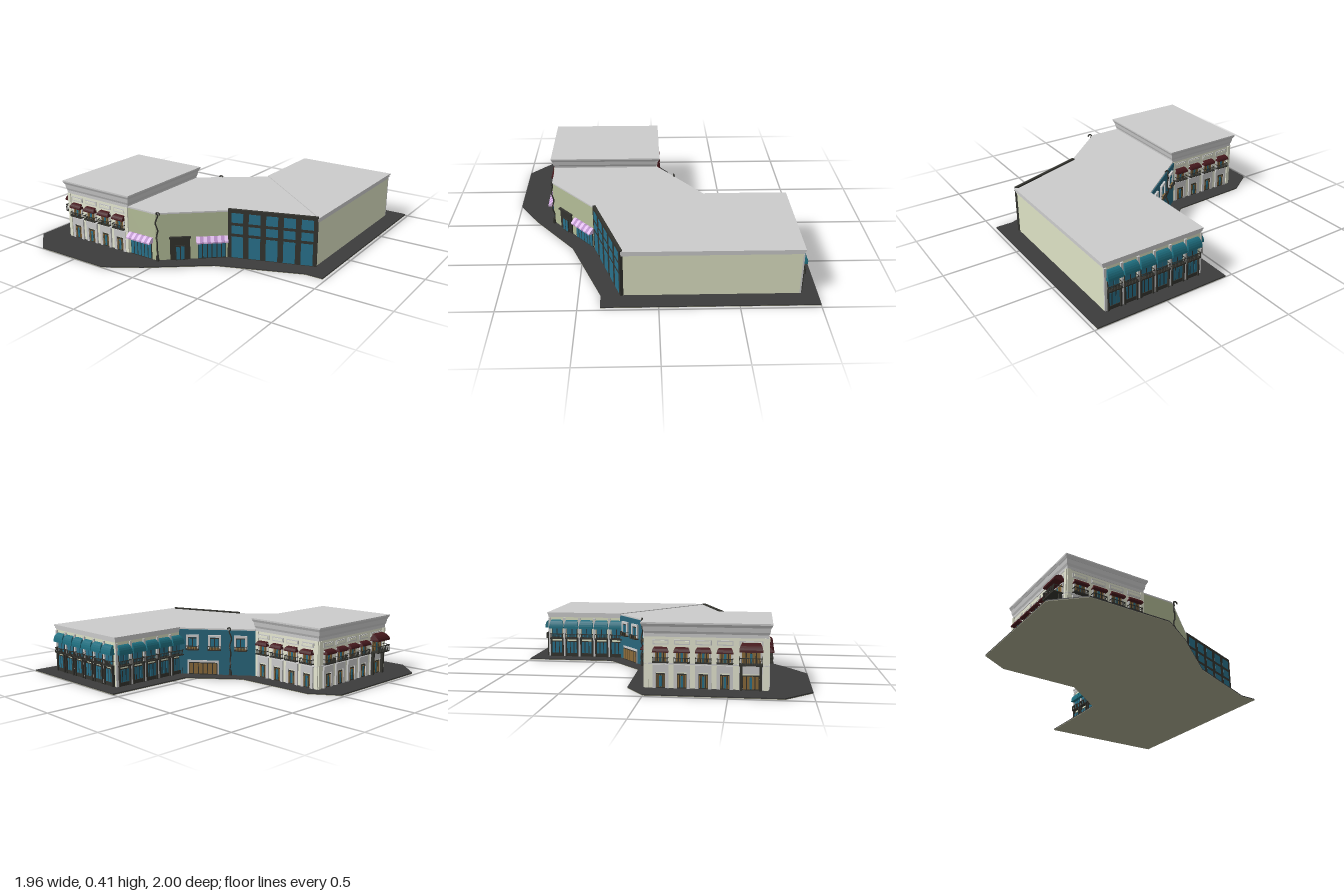
import * as THREE from 'three';

const mats = {};
const mat = (c) => (mats[c] ??= new THREE.MeshStandardMaterial({ color: c, side: THREE.DoubleSide, flatShading: true }));
const GREY = 0xcccccc, DARK = 0x34342f, PALE = 0xe6e8d2, CREAM = 0xdde2c4, SAGE = 0xb4bd98, GLASS = 0x28708a,
  BLUE = 0x28657a, TEAL = 0x1f6f80, RED = 0x46191d, WOOD = 0x8a6a3a, PAVING = 0x3c3c3c;

function add(parent, name, geo, color, x = 0, y = 0, z = 0) {
  const m = new THREE.Mesh(geo, mat(color));
  m.name = name;
  m.position.set(x, y, z);
  parent.add(m);
  return m;
}

// box given by centre x, bottom y, back z
const box = (p, name, color, w, h, d, x, y, z = 0) =>
  add(p, name, new THREE.BoxGeometry(w, h, d), color, x, y + h / 2, z + d / 2);

// floor outline of [x, z] points raised from y0 to y1
function prism(p, name, color, pts, y0, y1) {
  const shape = new THREE.Shape(pts.map(([x, z]) => new THREE.Vector2(x, -z)));
  const geo = new THREE.ExtrudeGeometry(shape, { depth: y1 - y0, bevelEnabled: false }).rotateX(-Math.PI / 2);
  return add(p, name, geo, color, 0, y0, 0);
}

// local frame of a wall running from a to b: x along it, z outward
function facade(p, name, [ax, az], [bx, bz]) {
  const g = new THREE.Group();
  g.name = name;
  g.position.set(ax, 0, az);
  g.rotation.y = Math.atan2(az - bz, bx - ax);
  g.userData.length = Math.hypot(bx - ax, bz - az);
  p.add(g);
  return g;
}

// rounded awning, narrower at the top
function awning(p, color, w, h, d, x, y) {
  const s = new THREE.Shape();
  s.moveTo(0, 0);
  s.lineTo(d, 0);
  for (let i = 1; i <= 6; i++) {
    const a = (i / 6) * Math.PI / 2;
    s.lineTo(d * Math.cos(a), h * Math.sin(a));
  }
  const geo = new THREE.ExtrudeGeometry(s, { depth: w, bevelEnabled: false }).translate(0, 0, -w / 2).rotateY(-Math.PI / 2);
  const v = geo.attributes.position;
  for (let i = 0; i < v.count; i++) v.setX(i, v.getX(i) * (1 - 0.22 * (v.getY(i) / h) ** 3));
  geo.computeVertexNormals();
  add(p, 'awning', geo, color, x, y, 0);
}

// striped sloping shop awning
function stripedAwning(p, w, x, n = 9) {
  const s = new THREE.Shape([[0, 0], [0.042, 0], [0.042, 0.01], [0.012, 0.036], [0, 0.036]].map((q) => new THREE.Vector2(...q)));
  for (let i = 0; i < n; i++) {
    const geo = new THREE.ExtrudeGeometry(s, { depth: w / n, bevelEnabled: false }).rotateY(-Math.PI / 2);
    add(p, 'awningStripe', geo, i % 2 ? 0xb48bc4 : 0xe0bdec, x - w / 2 + ((i + 1) * w) / n, 0.126, 0);
  }
}

function balcony(p, w, d, x, y, h = 0.03) {
  box(p, 'balconyFloor', DARK, w, 0.007, d, x, y);
  box(p, 'balconyRail', DARK, w, 0.004, 0.004, x, y + h, d - 0.004);
  for (const s of [-1, 1]) box(p, 'balconySideRail', DARK, 0.004, 0.004, d, x + s * (w / 2 - 0.002), y + h);
  const n = Math.round(w / 0.011);
  for (let i = 0; i <= n; i++)
    box(p, 'baluster', DARK, 0.003, h, 0.003, x + (i / n - 0.5) * (w - 0.004), y, d - 0.004);
}

// glazed opening: dark panel with panes between mullions
function glazing(p, name, w, h, x, y, n, color = GLASS, d = 0.006) {
  box(p, name + 'Frame', DARK, w, h, d, x, y);
  for (let i = 0; i < n; i++)
    box(p, name + 'Pane', color, w / n - 0.007, h - 0.012, 0.002, x + ((i + 0.5) / n - 0.5) * w, y + 0.006, d);
}

// grey surround of two jambs and a lintel
function surround(p, w, h, t, head, x, y, d = 0.012) {
  for (const s of [-1, 1]) box(p, 'jamb', GREY, t, h, d, x + s * (w - t) / 2, y);
  box(p, 'lintel', GREY, w, head, d, x, y + h - head);
}

// bay of the tall corner block
function cornerBay(p, x, big) {
  const w = big ? 0.14 : 0.098;
  surround(p, w, 0.145, 0.02, 0.045, x, 0.01);
  glazing(p, 'door', w - 0.04, 0.09, x, 0.01, 4, WOOD);
  box(p, 'doorGlass', GLASS, 0.016, 0.07, 0.01, x, 0.018);
  glazing(p, 'window', w - 0.02, 0.08, x, 0.165, 4, WOOD);
  box(p, 'windowGlass', GLASS, 0.016, 0.06, 0.01, x, 0.172);
  surround(p, w - 0.01, 0.09, 0.01, 0.01, x, 0.165, 0.009);
  awning(p, RED, w, big ? 0.05 : 0.03, big ? 0.07 : 0.036, x, big ? 0.25 : 0.233);
  balcony(p, w, big ? 0.07 : 0.03, x, 0.168, big ? 0.045 : 0.03);
  box(p, 'upperPanel', GREY, w, 0.03, 0.006, x, 0.278);
  box(p, 'upperPanelFace', PALE, w - 0.014, 0.016, 0.003, x, 0.285, 0.006);
  if (big) for (const s of [-1, 1]) box(p, 'porchColumn', DARK, 0.016, 0.16, 0.02, x + s * 0.058, 0.01, 0.01);
}

// bay of the rear wing
function wingBay(p, x) {
  box(p, 'pier', GREY, 0.016, 0.29, 0.01, x - 0.056, 0.01);
  glazing(p, 'shopfront', 0.086, 0.115, x, 0.01, 3);
  box(p, 'shopfrontStall', DARK, 0.086, 0.025, 0.012, x, 0.01);
  for (const s of [-1, 1]) box(p, 'shopColumn', DARK, 0.01, 0.14, 0.02, x + s * 0.043, 0.01);
  glazing(p, 'balconyDoor', 0.08, 0.1, x, 0.15, 2);
  balcony(p, 0.098, 0.03, x, 0.142, 0.036);
  awning(p, TEAL, 0.106, 0.062, 0.036, x, 0.222);
}

// tall wavy post with a hook
function post(p, x, z) {
  const pts = [];
  for (let i = 0; i <= 12; i++) pts.push(new THREE.Vector3(Math.sin(i * 1.7) * 0.006, 0.01 + i * 0.026, Math.cos(i * 1.3) * 0.006));
  for (let i = 0; i <= 5; i++)
    pts.push(new THREE.Vector3(0.012 - 0.014 * Math.cos(i * 0.7), 0.334 + 0.01 * Math.sin(i * 0.7), 0));
  const geo = new THREE.TubeGeometry(new THREE.CatmullRomCurve3(pts), 60, 0.005, 6);
  add(p, 'post', geo, DARK, x, 0, z);
  add(p, 'postFoot', new THREE.CylinderGeometry(0.008, 0.012, 0.04, 8), DARK, x, 0.03, z);
}

export function createModel() {
  const g = new THREE.Group();
  g.name = 'cornerBuilding';

  // pavement
  const kerb = [[-0.98, 0], [-0.8, -0.12], [-0.25, -0.14], [0.05, -0.385], [0.05, -1], [0.98, -1], [0.98, 0.36],
    [0.86, 0.36], [0.32, 0.575], [-0.04, 0.86], [-0.26, 1], [-0.8, 1], [-0.98, 0.83]];
  prism(g, 'underside', 0xa8a88e, kerb, 0, 0.003);
  prism(g, 'pavement', PAVING, kerb, 0.003, 0.01);

  // tall corner block with stepped, flared cornice
  const rect = (e) => [[-0.8 - e, -0.012 - e], [-0.258 + e, -0.012 - e], [-0.258 + e, 0.732 + e], [-0.8 - e, 0.732 + e]];
  prism(g, 'cornerBlock', PALE, rect(0), 0.01, 0.33);
  const flare = (y0, y1, e0, e1) => {
    const w = 0.542, d = 0.744, geo = new THREE.BoxGeometry(1, y1 - y0, 1), v = geo.attributes.position;
    for (let i = 0; i < v.count; i++) {
      const e = v.getY(i) > 0 ? e1 : e0;
      v.setX(i, v.getX(i) * (w + 2 * e));
      v.setZ(i, v.getZ(i) * (d + 2 * e));
    }
    geo.computeVertexNormals();
    add(g, 'cornerCornice', geo, GREY, -0.529, (y0 + y1) / 2, 0.36);
  };
  flare(0.325, 0.345, 0.003, 0.003);
  flare(0.345, 0.36, 0.003, 0.009);
  flare(0.36, 0.388, 0.009, 0.013);
  flare(0.388, 0.405, 0.015, 0.023);
  flare(0.405, 0.415, 0.024, 0.024);

  // middle section
  const mid = [[-0.26, -0.02], [0.17, -0.34], [0.865, 0.225], [0.33, 0.415], [-0.03, 0.73], [-0.26, 0.73]];
  prism(g, 'middleSection', SAGE, mid, 0.01, 0.325);
  prism(g, 'middleRoof', GREY, mid, 0.325, 0.335);

  // rear wing with cornice
  const wing = (e) => [[0.17 - e, -0.885 - e], [0.865 + e, -0.885 - e], [0.865 + e, 0.23], [0.17 - e, -0.34]];
  prism(g, 'rearWing', CREAM, wing(0), 0.01, 0.31);
  [[0.305, 0.315, 0.004], [0.315, 0.33, 0.007], [0.33, 0.34, 0.012]].forEach(([a, b, e]) =>
    prism(g, 'wingCornice', GREY, wing(e), a, b));

  // corner block fronts
  const centres = [-0.715, -0.587, -0.459, -0.33];
  const front = facade(g, 'cornerFront', [-0.8, 0.732], [-0.258, 0.732]);
  const back = facade(g, 'cornerBack', [-0.258, -0.012], [-0.8, -0.012]);
  const side = facade(g, 'cornerSide', [-0.8, -0.012], [-0.8, 0.732]);
  centres.forEach((x) => {
    cornerBay(front, x + 0.8);
    cornerBay(back, -0.258 - x);
  });
  [0.085, 0.215, 0.345, 0.475].forEach((z) => cornerBay(side, z + 0.012));
  cornerBay(side, 0.642, true);
  for (const f of [front, back, side]) {
    box(f, 'stringCourse', GREY, f.userData.length, 0.008, 0.008, f.userData.length / 2, 0.157);
    for (const s of [0, 1]) box(f, 'cornerPilaster', PALE, 0.024, 0.315, 0.008, 0.012 + s * (f.userData.length - 0.024), 0.01);
  }

  // rear wing bays
  const wingBack = facade(g, 'wingBack', [0.865, -0.885], [0.17, -0.885]);
  for (let i = 0; i < 6; i++) wingBay(wingBack, 0.064 + i * 0.1135);
  const wingSide = facade(g, 'wingSide', [0.17, -0.885], [0.17, -0.34]);
  for (let i = 0; i < 5; i++) wingBay(wingSide, 0.06 + i * 0.1135);

  // straight shop front and diagonal shop front
  const shop = facade(g, 'shopFront', [-0.258, 0.73], [-0.03, 0.73]);
  glazing(shop, 'shopWindow', 0.175, 0.125, 0.107, 0.01, 6);
  stripedAwning(shop, 0.195, 0.107);
  const diag = facade(g, 'diagonalFront', [-0.03, 0.73], [0.33, 0.415]);
  glazing(diag, 'shopWindow', 0.185, 0.125, 0.362, 0.01, 6);
  stripedAwning(diag, 0.205, 0.362);
  box(diag, 'entranceSurround', DARK, 0.13, 0.16, 0.008, 0.155, 0.01);
  glazing(diag, 'entranceDoor', 0.06, 0.1, 0.155, 0.01, 2, GLASS, 0.016);
  box(diag, 'entranceLintel', DARK, 0.14, 0.012, 0.018, 0.155, 0.158);

  // glazed grid wall
  const grid = facade(g, 'glassWall', [0.318, 0.415], [0.868, 0.225]);
  const L = grid.userData.length;
  box(grid, 'glassWallFrame', DARK, L, 0.335, 0.02, L / 2, 0.01, -0.008);
  const colW = (L - 0.014) / 5;
  for (let c = 0; c < 5; c++)
    for (const [y, h] of [[0.014, 0.146], [0.18, 0.055], [0.255, 0.066]])
      box(grid, 'gridPane', GLASS, 0.077, h, 0.002, 0.007 + (c + 0.5) * colW, y, 0.0115);

  // blue rear diagonal wall
  const blue = facade(g, 'rearDiagonal', [0.17, -0.34], [-0.26, -0.02]);
  const B = blue.userData.length;
  box(blue, 'blueWall', BLUE, B, 0.315, 0.006, B / 2, 0.01);
  for (const t of [0.18, 0.47, 0.81]) {
    const w = new THREE.Group();
    w.name = 'rearWindow';
    w.position.set(t * B, 0, 0.006);
    blue.add(w);
    glazing(w, 'window', 0.065, 0.075, 0, 0.195, 2);
    surround(w, 0.09, 0.095, 0.014, 0.016, 0, 0.195, 0.014);
    box(w, 'planter', WOOD, 0.07, 0.014, 0.022, 0, 0.19);
    balcony(w, 0.09, 0.028, 0, 0.183, 0.028);
  }
  box(blue, 'rearShopSurround', GREY, 0.22, 0.1, 0.01, 0.17, 0.01);
  glazing(blue, 'rearShop', 0.2, 0.085, 0.17, 0.01, 6, WOOD, 0.014);

  // posts
  post(g, -0.018, 0.732);
  post(g, -0.13, -0.135);
  return g;
}
